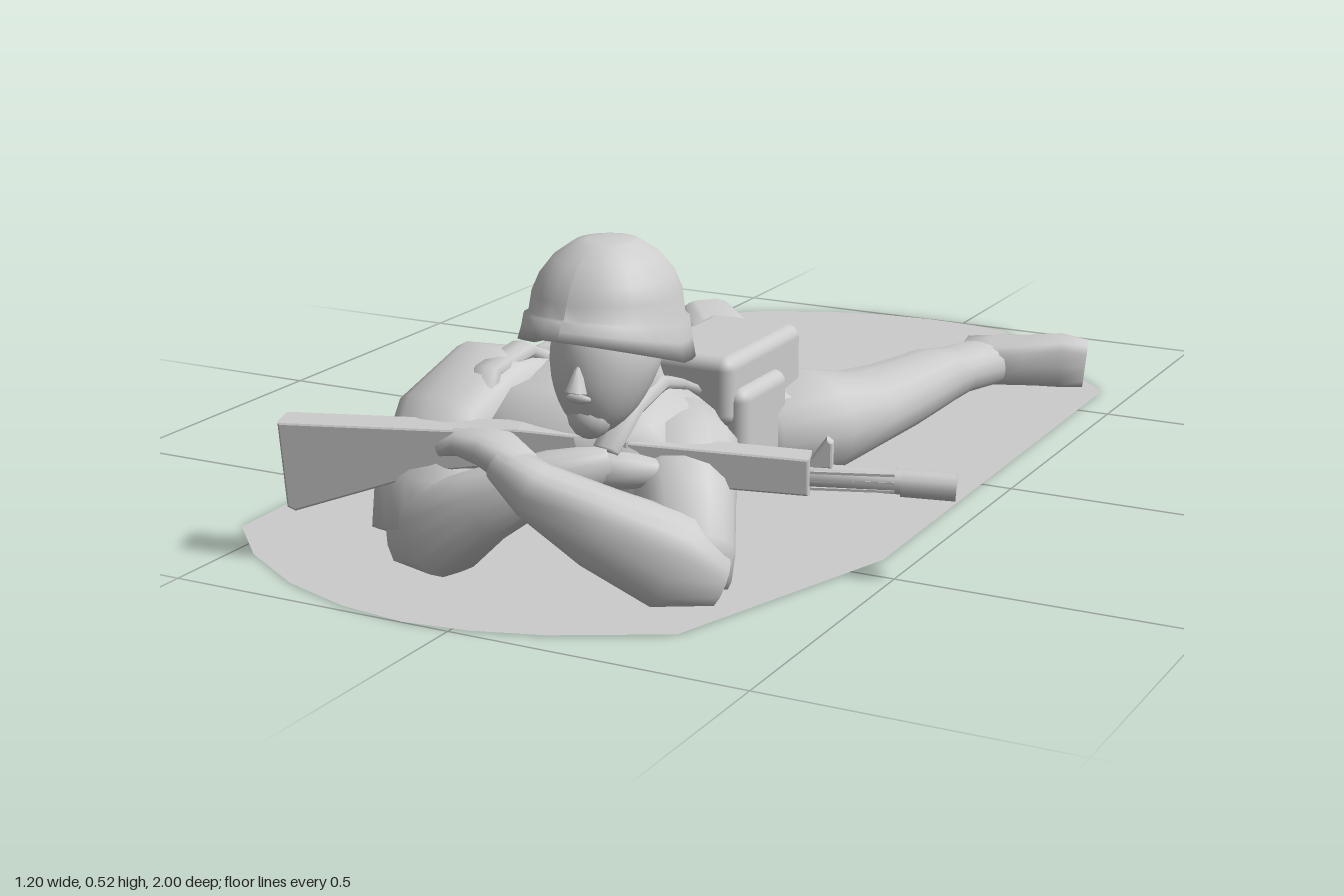
import * as THREE from 'three';
import { RoundedBoxGeometry } from 'three/addons/geometries/RoundedBoxGeometry.js';

const plastic = new THREE.MeshStandardMaterial({ color: 0xcccccc, side: THREE.DoubleSide });
plastic.name = 'grey plastic';

function add(parent, name, geometry, x = 0, y = 0, z = 0) {
  const mesh = new THREE.Mesh(geometry, plastic);
  mesh.name = name;
  mesh.position.set(x, y, z);
  parent.add(mesh);
  return mesh;
}

// Loft of squarish ellipses; each section is [x, y, z, half width, half height].
// Anything that would sink into the ground is flattened at y = 0.
function loft(sections, sides = 16, power = 0.85) {
  const centres = sections.map((s) => new THREE.Vector3(s[0], s[1], s[2]));
  const n = sections.length, pos = [], index = [];
  const push = (v) => pos.push(v.x, Math.max(0, v.y), v.z);
  const soft = (v) => Math.sign(v) * Math.abs(v) ** power;
  centres.forEach((c, i) => {
    const t = centres[Math.min(n - 1, i + 1)].clone().sub(centres[Math.max(0, i - 1)]).normalize();
    const side = new THREE.Vector3(0, 1, 0).cross(t).normalize();
    const up = t.clone().cross(side);
    for (let j = 0; j < sides; j++) {
      const a = (j / sides) * Math.PI * 2;
      push(c.clone().addScaledVector(side, soft(Math.cos(a)) * sections[i][3])
        .addScaledVector(up, soft(Math.sin(a)) * sections[i][4]));
    }
  });
  push(centres[0]);
  push(centres[n - 1]);
  for (let j = 0; j < sides; j++) {
    const k = (j + 1) % sides, last = (n - 1) * sides;
    for (let i = 0; i < n - 1; i++) {
      const a = i * sides + j, b = i * sides + k;
      index.push(a, b, a + sides, b, b + sides, a + sides);
    }
    index.push(n * sides, k, j, n * sides + 1, last + j, last + k);
  }
  const g = new THREE.BufferGeometry();
  g.setAttribute('position', new THREE.Float32BufferAttribute(pos, 3));
  g.setIndex(index);
  g.computeVertexNormals();
  return g;
}

function slab(points, depth) {
  const shape = new THREE.Shape(points.map(([x, y]) => new THREE.Vector2(x, y)));
  return new THREE.ExtrudeGeometry(shape, { depth, bevelEnabled: true, bevelSize: 0.004, bevelThickness: 0.006, bevelSegments: 2 })
    .translate(0, 0, -depth / 2);
}

export function createModel() {
  const model = new THREE.Group();
  model.name = 'prone figure';

  // Thin ground plate
  const outline = [[-0.54, -0.8], [-0.43, -0.9], [-0.3, -0.96], [-0.18, -0.99], [-0.08, -1], [0.02, -0.995], [0.1, -0.98],
    [0.44, -0.64], [0.45, 0.43], [0.31, 0.86], [0.14, 0.95], [0.03, 0.985], [-0.08, 1], [-0.2, 0.985], [-0.33, 0.94],
    [-0.46, 0.86], [-0.56, 0.76], [-0.6, -0.37]];
  const plate = new THREE.Shape(outline.map(([x, z]) => new THREE.Vector2(x, -z)));
  add(model, 'base', new THREE.ShapeGeometry(plate).rotateX(-Math.PI / 2), 0, 0.001, 0);

  // Torso, from collar to seat
  add(model, 'torso', loft([
    [-0.02, 0.17, 0.7, 0.13, 0.06], [-0.02, 0.175, 0.64, 0.2, 0.1], [-0.02, 0.168, 0.56, 0.21, 0.13],
    [-0.02, 0.13, 0.46, 0.18, 0.13], [-0.04, 0.1, 0.35, 0.16, 0.11], [-0.07, 0.09, 0.22, 0.19, 0.11],
    [-0.06, 0.085, 0.11, 0.24, 0.105], [-0.05, 0.08, 0.04, 0.22, 0.09], [-0.04, 0.06, 0.0, 0.15, 0.055],
  ], 20));

  // Legs and trouser cuffs
  add(model, 'leftLeg', loft([
    [0.06, 0.08, 0.14, 0.11, 0.08], [0.12, 0.08, 0.02, 0.125, 0.09], [0.16, 0.075, -0.09, 0.1, 0.065],
    [0.17, 0.065, -0.22, 0.083, 0.06], [0.175, 0.06, -0.33, 0.075, 0.055], [0.17, 0.052, -0.42, 0.072, 0.052],
    [0.18, 0.045, -0.5, 0.062, 0.044], [0.21, 0.045, -0.58, 0.065, 0.042],
  ]));
  add(model, 'rightLeg', loft([
    [-0.12, 0.08, 0.16, 0.1, 0.08], [-0.23, 0.08, 0.09, 0.12, 0.075], [-0.34, 0.07, 0.03, 0.115, 0.06],
    [-0.395, 0.065, -0.05, 0.112, 0.062], [-0.41, 0.065, -0.13, 0.096, 0.06], [-0.39, 0.06, -0.25, 0.083, 0.055],
    [-0.355, 0.05, -0.33, 0.075, 0.05], [-0.34, 0.045, -0.43, 0.066, 0.042],
  ]));

  // Boots, toes turned along the ground
  add(model, 'leftBoot', loft([
    [0.17, 0.045, -0.6, 0.055, 0.04], [0.22, 0.045, -0.61, 0.07, 0.042], [0.28, 0.047, -0.63, 0.062, 0.045],
    [0.35, 0.05, -0.65, 0.05, 0.05], [0.395, 0.045, -0.665, 0.034, 0.045],
  ], 14, 0.6));
  add(model, 'rightBoot', loft([
    [-0.25, 0.035, -0.44, 0.055, 0.035], [-0.31, 0.045, -0.475, 0.078, 0.045], [-0.37, 0.06, -0.525, 0.056, 0.06],
    [-0.42, 0.05, -0.575, 0.028, 0.045],
  ], 14, 0.6));

  // Arms: shoulder to elbow, then the crossed forearms
  add(model, 'rightUpperArm', loft([
    [-0.13, 0.24, 0.48, 0.06, 0.05], [-0.18, 0.23, 0.56, 0.115, 0.09], [-0.2, 0.18, 0.66, 0.1, 0.105],
    [-0.2, 0.1, 0.73, 0.095, 0.09], [-0.2, 0.04, 0.76, 0.085, 0.07],
  ]));
  add(model, 'rightForearm', loft([
    [-0.22, 0.03, 0.74, 0.06, 0.06], [-0.16, 0.06, 0.77, 0.07, 0.08], [-0.07, 0.12, 0.78, 0.055, 0.06],
    [0.03, 0.17, 0.74, 0.042, 0.04], [0.1, 0.185, 0.69, 0.035, 0.03],
  ]));
  add(model, 'leftUpperArm', loft([
    [0.11, 0.2, 0.49, 0.06, 0.05], [0.16, 0.17, 0.56, 0.09, 0.08], [0.2, 0.11, 0.63, 0.08, 0.085],
    [0.23, 0.05, 0.68, 0.075, 0.075], [0.25, 0.02, 0.71, 0.065, 0.05],
  ]));
  add(model, 'leftForearm', loft([
    [0.28, 0.015, 0.68, 0.06, 0.05], [0.22, 0.05, 0.72, 0.068, 0.085], [0.13, 0.11, 0.77, 0.052, 0.065],
    [0.03, 0.165, 0.8, 0.042, 0.045], [-0.03, 0.195, 0.785, 0.036, 0.03],
  ]));

  // Hands clasped over the rifle
  add(model, 'leftHand', loft([
    [0.0, 0.19, 0.79, 0.035, 0.03], [-0.06, 0.208, 0.765, 0.045, 0.027], [-0.12, 0.21, 0.75, 0.045, 0.022],
    [-0.16, 0.197, 0.76, 0.03, 0.014],
  ]));
  add(model, 'rightHand', loft([
    [0.07, 0.18, 0.71, 0.032, 0.03], [0.12, 0.175, 0.67, 0.045, 0.03], [0.18, 0.17, 0.64, 0.03, 0.02],
  ]));

  // Neck and head
  add(model, 'neck', loft([[0.02, 0.18, 0.48, 0.11, 0.08], [0.035, 0.24, 0.55, 0.085, 0.07], [0.06, 0.36, 0.61, 0.06, 0.06]]));
  const head = new THREE.SphereGeometry(1, 24, 18);
  const hp = head.attributes.position;
  for (let i = 0; i < hp.count; i++) {
    const taper = 1 + 0.2 * Math.min(0, hp.getY(i)); // narrows towards the chin
    hp.setXYZ(i, hp.getX(i) * 0.084 * taper, hp.getY(i) * 0.116, hp.getZ(i) * 0.1 * taper + 0.03 * Math.max(0, -hp.getY(i)));
  }
  head.computeVertexNormals();
  add(model, 'head', head, 0.072, 0.342, 0.645);
  const nose = add(model, 'nose', new THREE.ConeGeometry(0.018, 0.055, 8), 0.078, 0.338, 0.742);
  nose.rotation.x = -0.25;
  add(model, 'chin', new THREE.SphereGeometry(0.036, 12, 8), 0.074, 0.262, 0.7);
  add(model, 'lips', new THREE.SphereGeometry(1, 12, 8).scale(0.022, 0.009, 0.01), 0.076, 0.3, 0.738);

  // Helmet: rim rises over the brow and dips at the nape
  const profile = [[0.105, 0.35], [0.135, 0.34], [0.13, 0.37], [0.127, 0.398], [0.12, 0.403], [0.116, 0.44], [0.104, 0.47],
    [0.083, 0.497], [0.05, 0.52], [0.03, 0.524], [0, 0.525]];
  const helmet = new THREE.LatheGeometry(profile.map(([r, y]) => new THREE.Vector2(r, y)), 28);
  const p = helmet.attributes.position;
  for (let i = 0; i < p.count; i++) {
    const low = Math.max(0, (0.45 - p.getY(i)) / 0.11), z = p.getZ(i);
    p.setY(i, p.getY(i) + low * (z > 0 ? 0.4 : 0.1) * z);
    p.setZ(i, z * 1.07 + (z > 0 ? low * z * 0.08 : 0));
  }
  helmet.computeVertexNormals();
  add(model, 'helmet', helmet, 0.058, 0, 0.615);

  // Belt kit and webbing
  add(model, 'belt', loft([[-0.07, 0.09, 0.29, 0.185, 0.118], [-0.07, 0.09, 0.24, 0.2, 0.122]], 20));
  const pouches = [
    ['backPack', 0.03, 0.2, 0.18, 0.18, 0.12, 0.28], ['middlePouch', -0.1, 0.175, 0.22, 0.12, 0.1, 0.18],
    ['sidePouch', -0.215, 0.16, 0.23, 0.12, 0.16, 0.2], ['bottle', 0.1, 0.13, 0.22, 0.08, 0.15, 0.17],
  ];
  for (const [name, x, y, z, w, h, d] of pouches) {
    add(model, name, new RoundedBoxGeometry(w, h, d, 3, 0.022), x, y, z);
  }
  for (const s of [-1, 1]) {
    const drop = s > 0 ? 0.025 : 0;
    add(model, 'shoulderStrap', loft([[-0.03 + s * 0.07, 0.2, 0.32, 0.026, 0.012], [-0.02 + s * 0.1, 0.25, 0.45, 0.026, 0.012],
      [-0.02 + s * 0.12, 0.305 - drop, 0.55, 0.03, 0.014], [-0.02 + s * 0.13, 0.29 - drop, 0.64, 0.026, 0.012],
      [-0.02 + s * 0.12, 0.21, 0.7, 0.026, 0.012]], 8));
  }

  // Rifle, drawn along its own x axis and turned across the body
  const rifle = new THREE.Group();
  rifle.name = 'rifle';
  rifle.position.z = 0.69;
  rifle.rotation.y = 0.345;
  model.add(rifle);
  add(rifle, 'stock', slab([[-0.42, 0.095], [-0.41, 0.09], [-0.18, 0.165], [-0.1, 0.175], [-0.1, 0.226], [-0.43, 0.228]], 0.052));
  add(rifle, 'receiver', slab([[-0.15, 0.17], [0.12, 0.165], [0.12, 0.218], [-0.05, 0.23], [-0.15, 0.228]], 0.046));
  add(rifle, 'handguard', slab([[0.1, 0.16], [0.4, 0.145], [0.4, 0.198], [0.1, 0.216]], 0.042));
  add(rifle, 'frontSight', slab([[0.4, 0.185], [0.435, 0.185], [0.435, 0.222], [0.43, 0.226]], 0.01));
  const barrel = add(rifle, 'barrel', new THREE.CylinderGeometry(0.018, 0.02, 0.2, 12).rotateZ(-Math.PI / 2), 0.49, 0.164, 0);
  barrel.rotation.z = -0.05;
  const muzzle = add(rifle, 'muzzle', new THREE.CylinderGeometry(0.022, 0.022, 0.085, 12).rotateZ(-Math.PI / 2), 0.587, 0.159, 0);
  muzzle.rotation.z = -0.05;
  for (let i = 0; i < 3; i++) add(rifle, 'barrelRib', new THREE.BoxGeometry(0.13, 0.004, 0.038), 0.47, 0.152 + i * 0.013, 0);

  return model;
}
